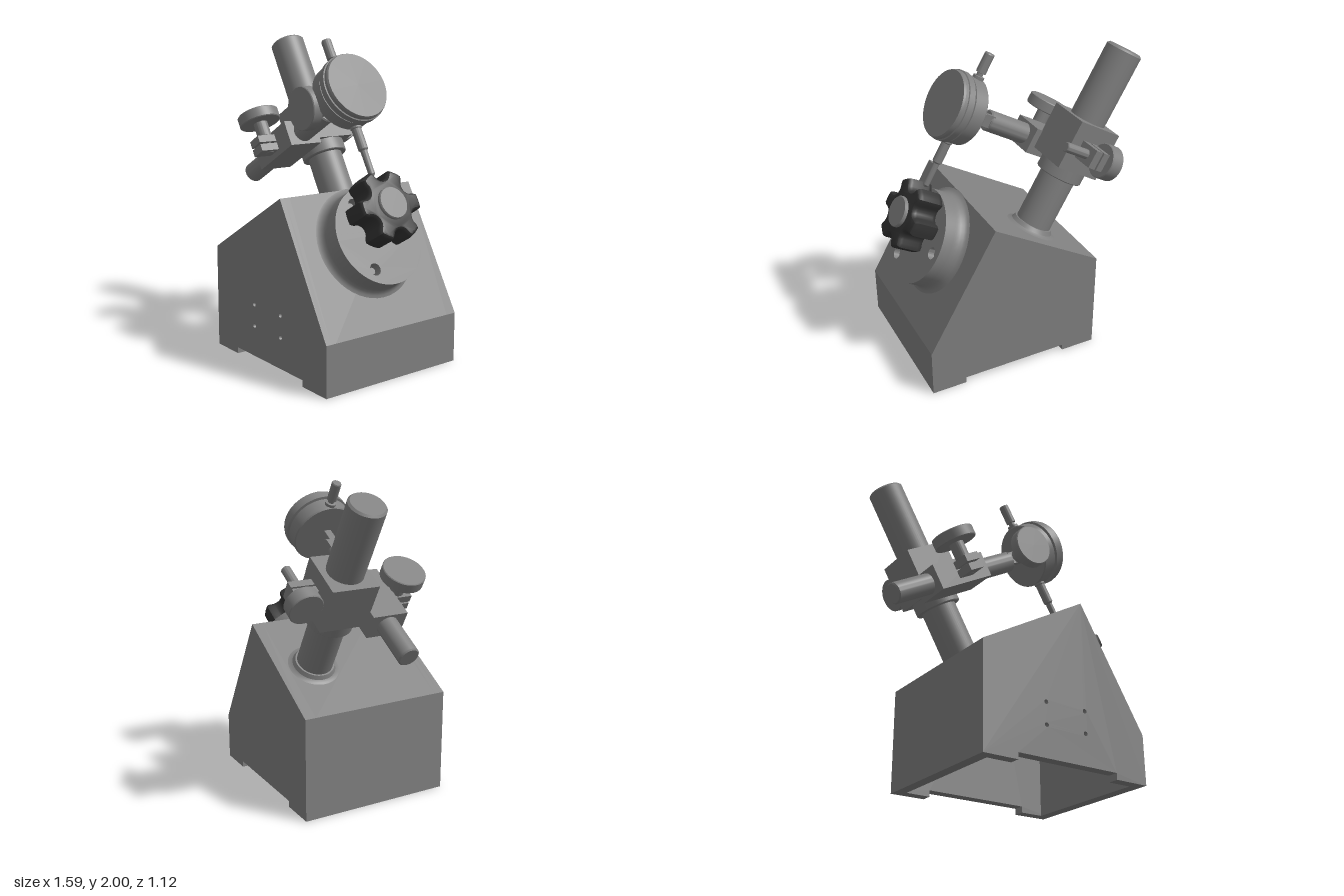
import * as THREE from 'three';
import { toCreasedNormals } from 'three/addons/utils/BufferGeometryUtils.js';

const grey = new THREE.MeshStandardMaterial({ color: 0x808080 });
const dark = new THREE.MeshStandardMaterial({ color: 0x333333 });

function add(parent, name, geometry, material = grey) {
  const mesh = new THREE.Mesh(geometry, material);
  mesh.name = name;
  parent.add(mesh);
  return mesh;
}

// Turned part: profile of [radius, distance along axis]; end caps are added
function turned(parent, name, axis, pos, profile) {
  const pts = [[0, profile[0][1]], ...profile, [0, profile[profile.length - 1][1]]];
  const geo = new THREE.LatheGeometry(pts.map(([r, h]) => new THREE.Vector2(r, h)), 48);
  const mesh = add(parent, name, toCreasedNormals(geo, 0.45));
  if (axis === 'x') mesh.rotation.z = -Math.PI / 2;
  if (axis === 'z') mesh.rotation.x = Math.PI / 2;
  mesh.position.set(...pos);
}

const rod = (parent, name, axis, pos, r, a, b, c = 0.005) =>
  turned(parent, name, axis, pos, [[r - c, a], [r, a + c], [r, b - c], [r - c, b]]);

// Box given by its minimum and maximum corners
function block(parent, name, min, max) {
  const size = max.map((m, i) => m - min[i]);
  const mesh = add(parent, name, new THREE.BoxGeometry(...size));
  mesh.position.set(...min.map((m, i) => (m + max[i]) / 2));
}

const polygon = (pts) => new THREE.Shape(pts.map(([x, y]) => new THREE.Vector2(x, y)));
const hole = (x, y, r) => new THREE.Path().absarc(x, y, r, 0, Math.PI * 2, true);
const plate = (shape, depth) =>
  new THREE.ExtrudeGeometry(shape, { depth, bevelEnabled: false, curveSegments: 24 });

function buildBase(root) {
  const base = new THREE.Group();
  base.name = 'base';
  root.add(base);
  const roof = [[0.727, 0], [0.727, 0.31], [0.286, 1.074], [-0.43, 0.66], [-0.43, 0]];
  const notch = [[-0.2, 0], [-0.2, 0.04], [0.5, 0.04], [0.5, 0]];
  const inner = [[-0.36, 0], [-0.36, 0.683], [0.275, 1.048], [0.655, 0.4], [0.655, 0]];

  // Side walls; the outer layer of the front one has four blind pin holes
  for (const [z, depth, pins] of [[-0.442, 0.072, false], [0.49, 0.035, false], [0.525, 0.033, true]]) {
    const wall = polygon([...roof, ...notch]);
    if (pins) for (const x of [0, 0.28]) for (const y of [0.235, 0.372]) wall.holes.push(hole(x, y, 0.014));
    add(base, 'sideWall', plate(wall, depth)).position.z = z;
  }
  // Sloping shell, open underneath
  add(base, 'shell', plate(polygon([...roof, ...inner]), 0.86)).position.z = -0.37;
}

function buildColumn(tilt) {
  const pos = [0.36, 0, -0.197];
  turned(tilt, 'columnFoot', 'y', pos,
    [[0.175, 0.784], [0.152, 0.79], [0.138, 0.8], [0.13, 0.815], [0.125, 0.825]]);
  rod(tilt, 'column', 'y', pos, 0.114, 0.78, 2.04, 0.012);
}

function buildFlange(tilt) {
  const centre = [0.783, 0.443, 0.058];
  turned(tilt, 'flangeFoot', 'x', centre,
    [[0.35, 0], [0.331, 0.008], [0.318, 0.022], [0.31, 0.042], [0.308, 0.07], [0.308, 0.08]]);
  // Flange disc with three sunken screws
  const disc = new THREE.Shape().absarc(0, 0, 0.308, 0, Math.PI * 2);
  for (let i = 0; i < 3; i++) {
    const a = i * Math.PI * 2 / 3, x = 0.232 * Math.cos(a), y = 0.232 * Math.sin(a);
    disc.holes.push(hole(x, y, 0.037));
    rod(tilt, 'flangeScrew', 'x', [0, 0.443 + y, 0.058 - x], 0.022, 0.85, 0.905, 0.003);
  }
  const geo = new THREE.ExtrudeGeometry(disc, { depth: 0.074, bevelEnabled: false, curveSegments: 48 });
  const flange = add(tilt, 'flange', toCreasedNormals(geo, 0.45));
  flange.rotation.y = Math.PI / 2;
  flange.position.set(0.862, 0.443, 0.058);
}

function buildStarKnob(tilt) {
  turned(tilt, 'knobShaft', 'x', [0, 0.563, 0.058], [[0.098, 0.92], [0.098, 1.14], [0.093, 1.147]]);
  // Six rounded lobes parted by deep flutes
  const R = 0.197, n = 6, flute = 0.07, pts = [];
  for (let i = 0; i < n; i++) {
    const mid = i * Math.PI * 2 / n;
    for (let k = -2; k <= 2; k++) {
      const a = mid + k * 0.07;
      pts.push([R * Math.cos(a), R * Math.sin(a)]);
    }
    const f = mid + Math.PI / n, cx = 0.2 * Math.cos(f), cy = 0.2 * Math.sin(f);
    for (let k = 1; k < 9; k++) {
      const a = f - Math.PI / 2 - k * Math.PI / 9;
      pts.push([cx + flute * Math.cos(a), cy + flute * Math.sin(a)]);
    }
  }
  const geo = new THREE.ExtrudeGeometry(polygon(pts), {
    depth: 0.11, bevelThickness: 0.034, bevelSize: 0.022, bevelSegments: 4,
  });
  const knob = add(tilt, 'starKnob', toCreasedNormals(geo, 0.5), dark);
  knob.rotation.y = Math.PI / 2;
  knob.position.set(0.982, 0.56, 0.058);
}

function buildClamp(tilt) {
  const clamp = new THREE.Group();
  clamp.name = 'crossClamp';
  tilt.add(clamp);
  // Column block with its collar
  block(clamp, 'columnBlock', [0.205, 1.25, -0.352], [0.515, 1.56, -0.045]);
  rod(clamp, 'columnCollar', 'y', [0.36, 0, -0.197], 0.148, 1.17, 1.26);
  // Split lug behind the column, with clamping screw
  block(clamp, 'columnLug', [0.33, 1.345, -0.505], [0.379, 1.458, -0.35]);
  block(clamp, 'columnLug', [0.391, 1.345, -0.505], [0.44, 1.458, -0.35]);
  rod(clamp, 'columnScrew', 'x', [0, 1.402, -0.43], 0.03, 0.25, 0.605);
  rod(clamp, 'columnThumbWheel', 'x', [0, 1.402, -0.455], 0.108, 0.25, 0.335);
  // Block for the cross rod, with split lug and clamping screw
  block(clamp, 'rodBlock', [0.152, 1.2, -0.05], [0.555, 1.365, 0.185]);
  block(clamp, 'rodLug', [0.308, 1.235, 0.18], [0.412, 1.282, 0.312]);
  block(clamp, 'rodLug', [0.308, 1.294, 0.18], [0.412, 1.341, 0.312]);
  rod(clamp, 'rodScrew', 'y', [0.36, 0, 0.226], 0.03, 1.232, 1.36);
  rod(clamp, 'rodThumbHub', 'y', [0.36, 0, 0.226], 0.046, 1.341, 1.46);
  rod(clamp, 'rodThumbWheel', 'y', [0.36, 0, 0.226], 0.135, 1.445, 1.515);
  rod(tilt, 'crossRod', 'x', [0, 1.284, 0.067], 0.067, -0.122, 0.85, 0.008);
}

function buildGauge(tilt) {
  const gauge = new THREE.Group();
  gauge.name = 'dialGauge';
  tilt.add(gauge);
  const z = 0.057;
  // Forked joint at the rod end with its thumb wheel
  for (const side of [-1, 1]) {
    const mid = 0.067 + side * 0.04;
    block(gauge, 'forkCheek', [0.83, 1.25, mid - 0.015], [0.9, 1.33, mid + 0.015]);
    rod(gauge, 'forkEnd', 'z', [0.9, 1.29, mid], 0.04, -0.015, 0.015, 0.002);
  }
  block(gauge, 'gaugeLug', [0.87, 1.255, 0.043], [1.02, 1.325, 0.091]);
  rod(gauge, 'jointScrew', 'z', [0.902, 1.29, 0], 0.05, 0.12, 0.235);
  rod(gauge, 'jointThumbWheel', 'z', [0.902, 1.29, 0], 0.134, 0.228, 0.299);
  // Case and bezel
  turned(gauge, 'gaugeCase', 'x', [0.005, 1.294, z], [
    [0.203, 1.0], [0.21, 1.007], [0.21, 1.09], [0.202, 1.093], [0.202, 1.103], [0.219, 1.106],
    [0.219, 1.145], [0.212, 1.148], [0.212, 1.168], [0.206, 1.18],
  ]);
  // Plunger with sleeve below and cap above the case
  turned(gauge, 'plunger', 'y', [1.042, 0, z], [
    [0.008, 0.765], [0.02, 0.78], [0.021, 0.93], [0.03, 0.94], [0.03, 1.07], [0.035, 1.075],
    [0.035, 1.52], [0.02, 1.522], [0.02, 1.54], [0.031, 1.542], [0.031, 1.662], [0.027, 1.669],
  ]);
}

export function createModel() {
  const root = new THREE.Group();
  root.name = 'gaugeStand';
  buildBase(root);
  // Everything above the base sits in a frame leaning back by 30 degrees
  const tilt = new THREE.Group();
  tilt.name = 'tiltedAssembly';
  tilt.rotation.z = Math.PI / 6;
  root.add(tilt);
  for (const build of [buildColumn, buildFlange, buildStarKnob, buildClamp, buildGauge]) build(tilt);
  return root;
}
